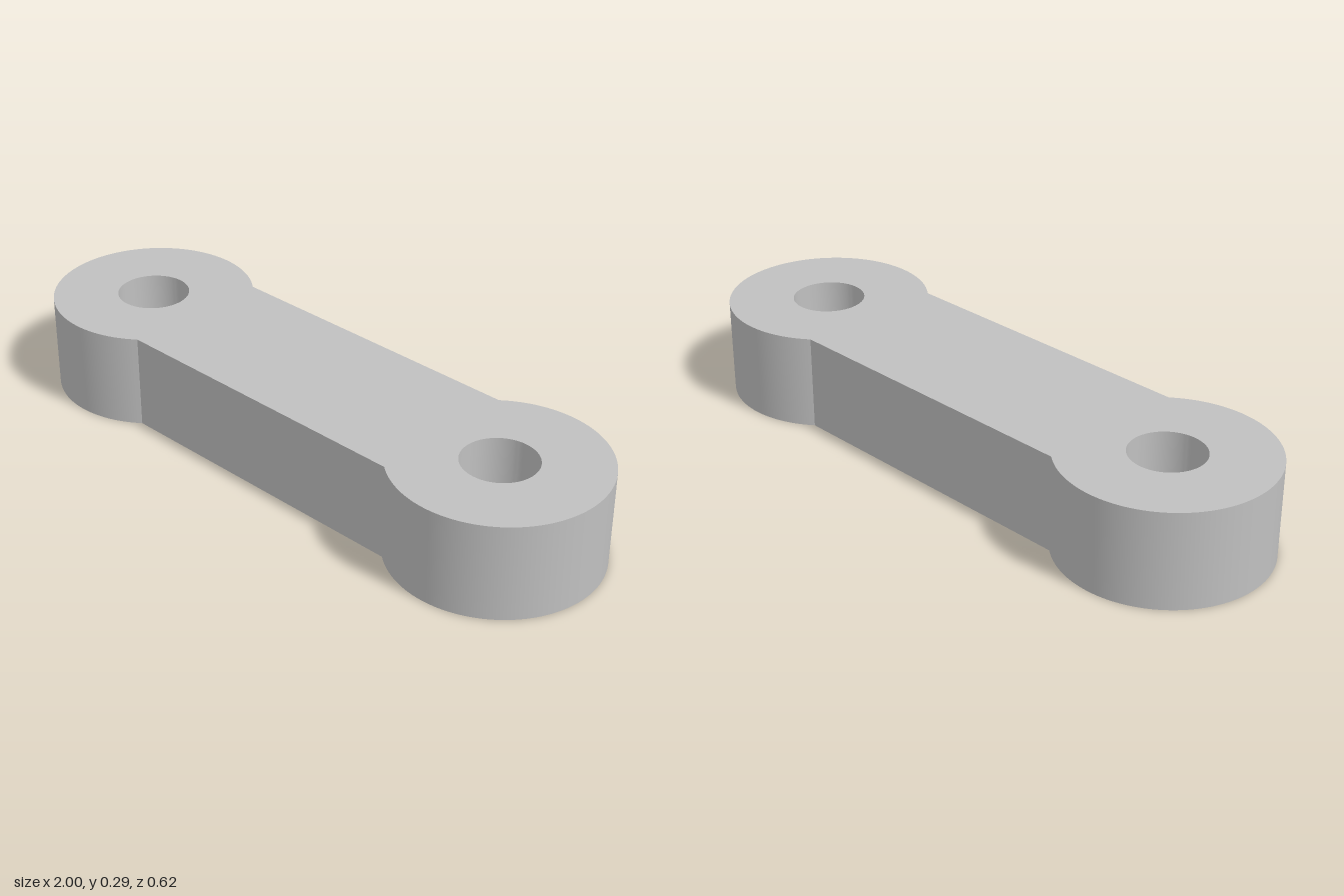
import * as THREE from 'three';
import { toCreasedNormals } from 'three/addons/utils/BufferGeometryUtils.js';

const HEIGHT = 0.291;
const EYE_RADIUS = 0.309;
const EYE_X = 1 - EYE_RADIUS;
const HOLE_RADIUS = 0.11;
const BAR_HALF_WIDTH = 0.238;

export function createModel() {
  const group = new THREE.Group();
  group.name = 'linkPlate';
  const steel = new THREE.MeshStandardMaterial({ color: 0xc0c0c0 });
  steel.name = 'plain grey';

  // Outline: two round eyes joined by a narrower straight bar
  const a = Math.asin(BAR_HALF_WIDTH / EYE_RADIUS);
  const outline = new THREE.Shape();
  outline.absarc(EYE_X, 0, EYE_RADIUS, a - Math.PI, Math.PI - a, false);
  outline.absarc(-EYE_X, 0, EYE_RADIUS, a, 2 * Math.PI - a, false);
  outline.closePath();

  // Pin hole through each eye
  for (const side of [-1, 1]) {
    const hole = new THREE.Path();
    hole.absarc(side * EYE_X, 0, HOLE_RADIUS, 0, 2 * Math.PI, true);
    outline.holes.push(hole);
  }

  // Lay the extrusion flat, with smooth round walls and sharp edges
  const solid = new THREE.ExtrudeGeometry(outline, {
    depth: HEIGHT, bevelEnabled: false, curveSegments: 48,
  });
  solid.rotateX(-Math.PI / 2);
  const link = new THREE.Mesh(toCreasedNormals(solid, 0.5), steel);
  link.name = 'linkBody';
  group.add(link);
  return group;
}
